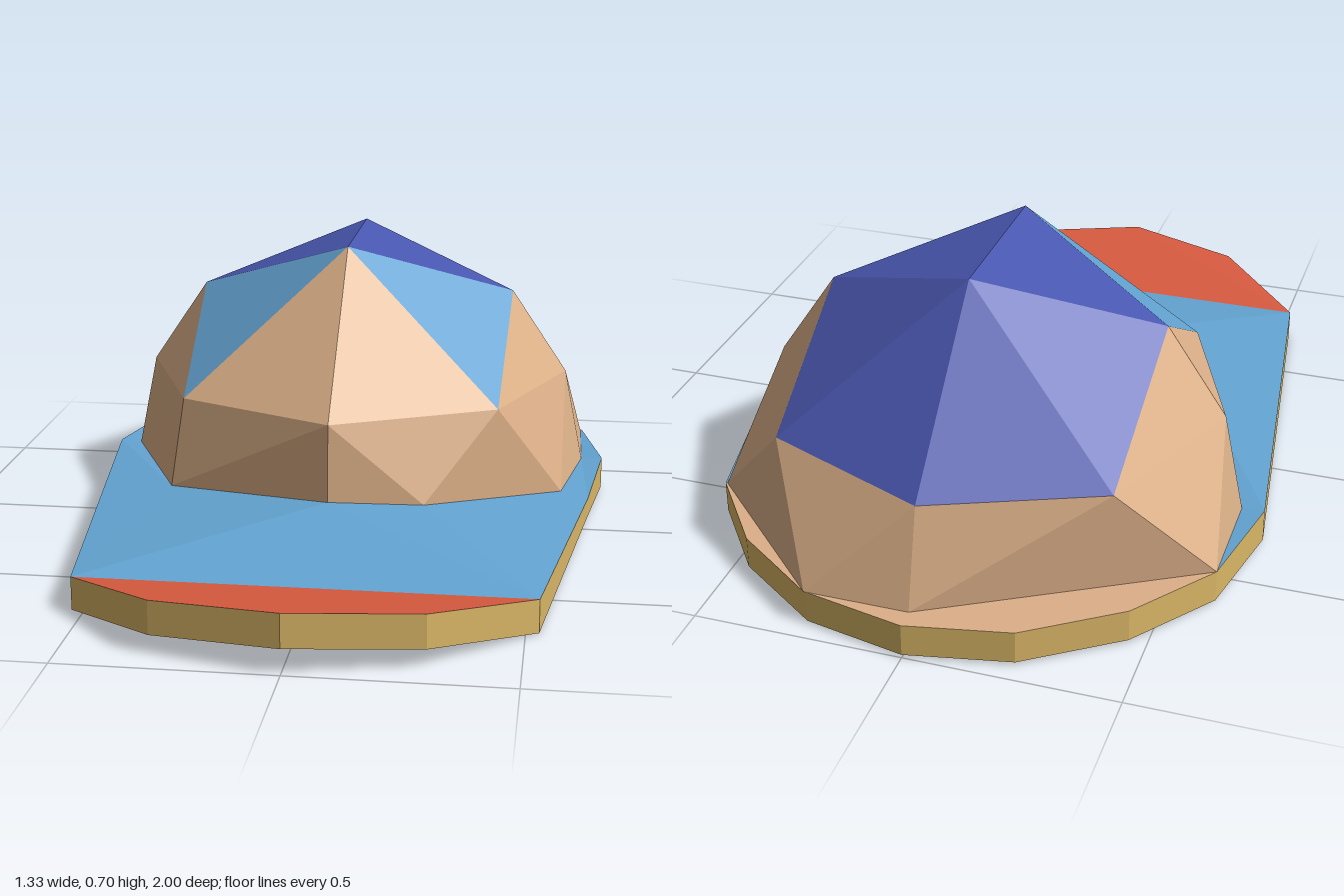
import * as THREE from 'three';

const material = (name, color) => {
  const m = new THREE.MeshStandardMaterial({ color, flatShading: true, side: THREE.DoubleSide });
  m.name = name;
  return m;
};

// Angle round the middle of the crown, running from the front (+z) towards +x
const angle = (p) => {
  const a = Math.atan2(p[0], p[2] + 0.33);
  return a < -1e-6 ? a + Math.PI * 2 : a;
};

// Joins an inner and an outer closed loop with triangles, ordered by angle
function stitch(inner, outer) {
  const tris = [];
  const at = (loop, k) => loop[k % loop.length];
  const ang = (loop, k) => (k >= loop.length ? Math.PI * 2 : 0) + angle(at(loop, k));
  let i = 0, j = 0;
  while (i < inner.length || j < outer.length) {
    const a = at(inner, i), b = at(outer, j);
    const stepInner = j >= outer.length || (i < inner.length && ang(inner, i + 1) <= ang(outer, j + 1));
    if (stepInner) tris.push([a, b, at(inner, ++i)]);
    else tris.push([a, b, at(outer, ++j)]);
  }
  return tris;
}

const fan = (p) => p.slice(2).map((q, k) => [p[0], p[k + 1], q]);
const flip = (tris) => tris.map(([a, b, c]) => [a, c, b]);

export function createModel() {
  const tan = material('tan cloth', 0xdcb088);
  const blue = material('light blue cloth', 0x63a4d2);
  const navy = material('navy cloth', 0x4957b0);
  const red = material('red cloth', 0xd95b40);
  const gold = material('gold edging', 0xdab667);

  const group = new THREE.Group();
  group.name = 'cap';
  const add = (name, tris, mat) => {
    const g = new THREE.BufferGeometry();
    g.setAttribute('position', new THREE.Float32BufferAttribute(tris.flat(2), 3));
    g.computeVertexNormals();
    const mesh = new THREE.Mesh(g, mat);
    mesh.name = name;
    group.add(mesh);
  };

  // Crown: two peaks, two shoulders, a middle ring and a base ring
  const peakF = [0, 0.7, -0.11], peakB = [0, 0.7, -0.52];
  const middle = [
    [0, 0.335, 0.27], [0.4, 0.33, 0.06], [0.56, 0.335, -0.33], [0.4, 0.335, -0.73],
    [0, 0.33, -0.89], [-0.4, 0.335, -0.73], [-0.56, 0.335, -0.33], [-0.4, 0.33, 0.06],
  ];
  const base = [
    [0, 0.142, 0.28], [0.23, 0.125, 0.22], [0.56, 0.07, -0.1], [0.61, 0.09, -0.33], [0.605, 0.09, -0.6],
    [0.25, 0.09, -0.95], [0, 0.09, -0.95], [-0.61, 0.09, -0.6], [-0.61, 0.09, -0.33], [-0.43, 0.105, 0.09],
  ];
  add('crownBand', stitch(middle, base), tan);

  const frontPanels = [], sidePanels = [], backPanels = [];
  for (const s of [1, -1]) {
    const shoulder = [0.415 * s, 0.55, -0.33];
    const ring = s > 0 ? middle.slice(0, 5) : [0, 7, 6, 5, 4].map((k) => middle[k]);
    const [f, m, side, back, rear] = ring;
    const turn = s > 0 ? (t) => t : flip;
    frontPanels.push(...turn([[peakF, f, m], [shoulder, m, side], [shoulder, side, back]]));
    sidePanels.push(...turn([[peakF, m, shoulder]]));
    backPanels.push(...turn([[peakF, shoulder, peakB], [peakB, shoulder, back], [peakB, back, rear]]));
  }
  add('crownFrontPanels', frontPanels, tan);
  add('crownSidePanels', sidePanels, blue);
  add('crownBackPanels', backPanels, navy);

  // Brim outline, starting at the right corner of the peak and running round the back
  const outline = [
    [0.53, 0.083, 0.7], [0.63, 0.062, -0.07], [0.665, 0.093, -0.33], [0.61, 0.09, -0.6], [0.46, 0.09, -0.8],
    [0.245, 0.09, -0.95], [0, 0.09, -1], [-0.245, 0.09, -0.95], [-0.46, 0.09, -0.8],
    [-0.61, 0.09, -0.6], [-0.665, 0.093, -0.33], [-0.53, 0.083, 0.7],
  ];
  const tip = [[-0.3, 0.125, 0.92], [0, 0.143, 1], [0.3, 0.125, 0.92]];
  const lower = ([x, y, z]) => [x, Math.max(0, y - 0.08), z];
  // The dip in the upper edge does not reach the lower edge
  const under = outline.map(lower).map(([x, y, z]) => [x, z < 0.5 ? 0.011 : y, z]);
  const underTip = tip.map(lower);

  const top = stitch(base, outline);
  const isBack = (t) => (t[0][2] + t[1][2] + t[2][2]) / 3 < -0.6;
  add('brimTop', top.filter((t) => !isBack(t)), blue);
  add('brimBack', top.filter(isBack), tan);
  const tipLoop = [tip[1], tip[2], outline[0], outline[11], tip[0]];
  add('brimTip', fan(tipLoop), red);

  // Underside with the opening for the head
  const opening = Array.from({ length: 12 }, (_, k) => {
    const a = (k / 12) * Math.PI * 2;
    return [0.56 * Math.sin(a), 0.011 + 0.045 * Math.max(0, Math.cos(a)) ** 2, -0.33 + 0.57 * Math.cos(a)];
  });
  const underLoop = [underTip[1], underTip[2], under[0], under[11], underTip[0]];
  add('brimUnderside', flip([...stitch(opening, under), ...fan(underLoop)]), gold);

  // Outer edge of the brim
  const upperEdge = [...outline, ...tip], lowerEdge = [...under, ...underTip];
  add('brimEdge', upperEdge.flatMap((p, k) => {
    const n = (k + 1) % upperEdge.length;
    return [[p, lowerEdge[k], lowerEdge[n]], [p, lowerEdge[n], upperEdge[n]]];
  }), gold);

  return group;
}
